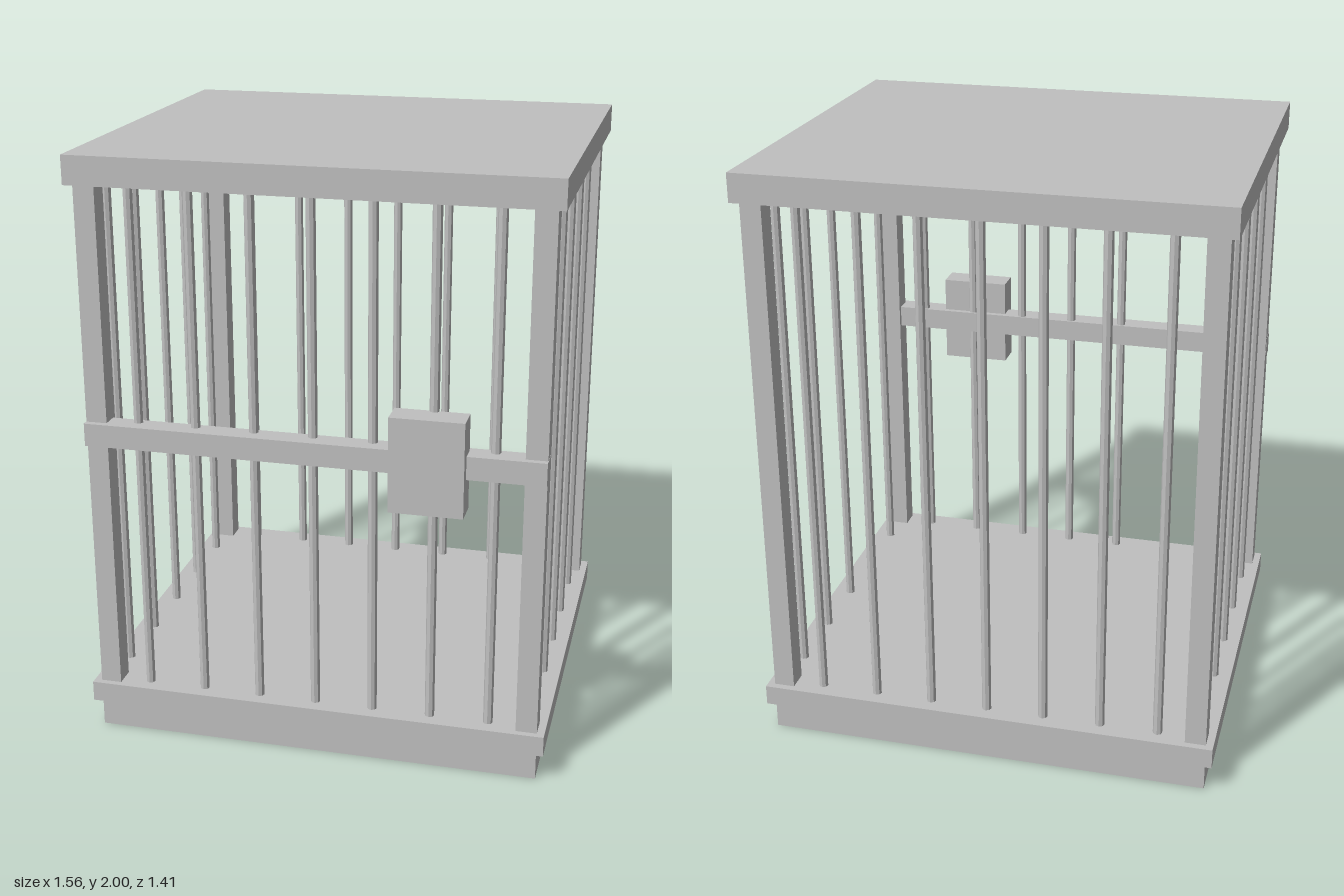
import * as THREE from 'three';

export function createModel() {
  const cage = new THREE.Group();
  cage.name = 'cage';
  const steel = new THREE.MeshStandardMaterial({ color: 0xc0c0c0 });
  steel.name = 'greySteel';

  // Box given by its minimum and maximum on each axis
  function box(name, [x0, x1], [y0, y1], [z0, z1]) {
    const mesh = new THREE.Mesh(new THREE.BoxGeometry(x1 - x0, y1 - y0, z1 - z0), steel);
    mesh.name = name;
    mesh.position.set((x0 + x1) / 2, (y0 + y1) / 2, (z0 + z1) / 2);
    cage.add(mesh);
  }

  const floorY = 0.17, roofY = 1.905;
  const frontZ = 0.615, backZ = -0.648, sideX = 0.72;

  // Plinth, floor and roof slabs
  box('plinth', [-0.755, 0.755], [0, 0.1], [-0.685, 0.65]);
  box('floor', [-0.78, 0.78], [0.1, floorY], [-0.707, 0.672]);
  box('roof', [-0.78, 0.78], [roofY, 2], [-0.707, 0.672]);

  // Corner posts
  for (const x of [-sideX, sideX]) {
    for (const z of [frontZ, backZ]) {
      box('cornerPost', [x - 0.035, x + 0.035], [floorY, roofY], [z - 0.036, z + 0.036]);
    }
  }

  // Thin vertical bars
  const barGeometry = new THREE.CylinderGeometry(0.016, 0.016, roofY - floorY, 8).toNonIndexed();
  barGeometry.computeVertexNormals();
  function bar(name, x, z) {
    const mesh = new THREE.Mesh(barGeometry, steel);
    mesh.name = name;
    mesh.position.set(x, (floorY + roofY) / 2, z);
    cage.add(mesh);
  }
  for (let i = -3; i <= 3; i++) {
    bar('frontBar', i * 0.196, frontZ);
    bar('backBar', i * 0.196, backZ);
  }
  for (let i = -2; i <= 2; i++) {
    bar('leftBar', sideX, -0.014 + i * 0.24);
    bar('rightBar', -sideX, -0.014 + i * 0.24);
  }

  // Cross rail and lock box on the front
  box('crossRail', [-0.756, 0.756], [1.045, 1.122], [0.595, 0.672]);
  box('lockBox', [0.265, 0.505], [0.927, 1.243], [0.615, 0.708]);

  return cage;
}
